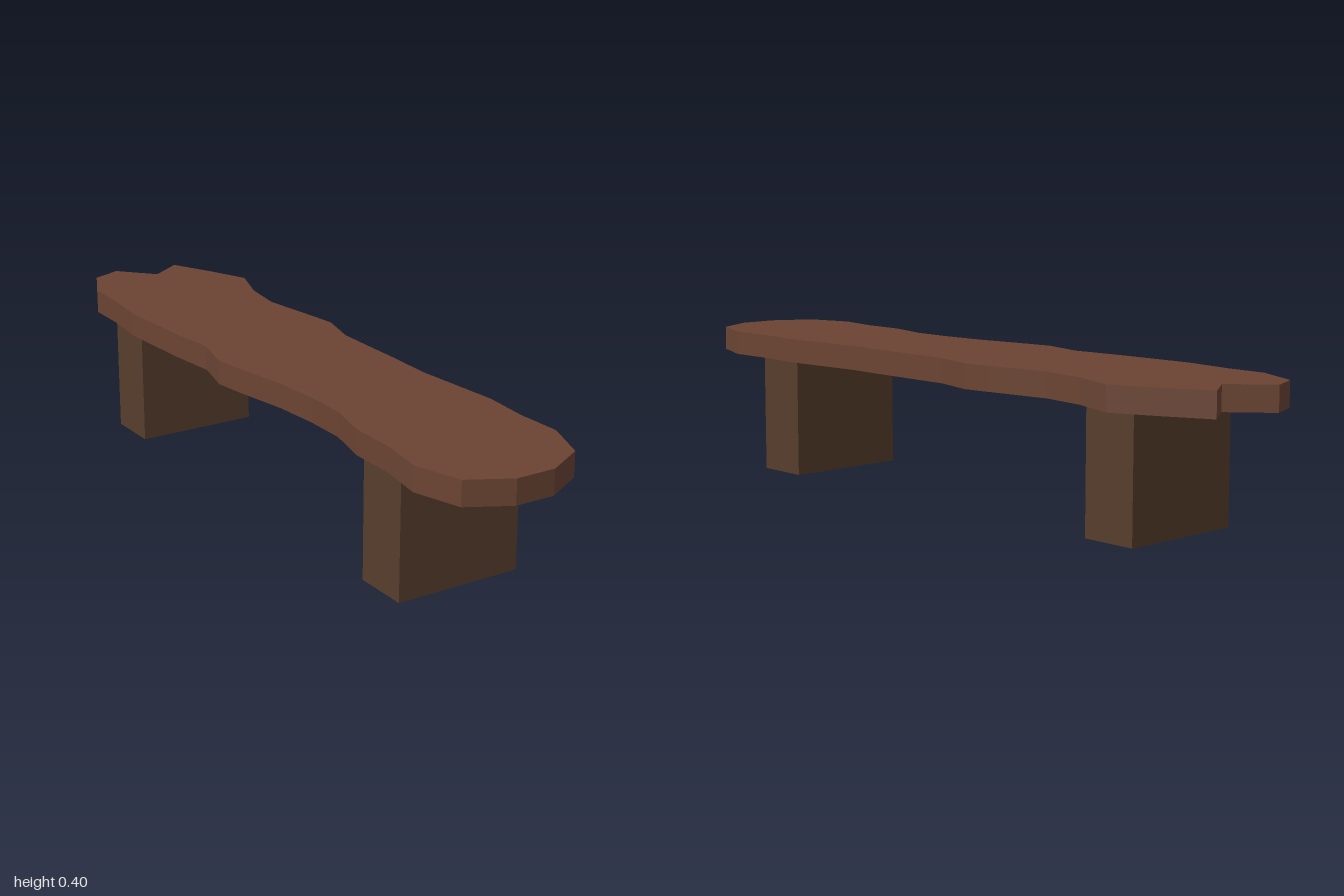
import * as THREE from 'three';

const SEAT_BOTTOM = 0.333, SEAT_TOP = 0.4;

// Live-edge plank outline as [x, z], starting at the notched back end
const OUTLINE = [
  [-0.065, -1], [0.025, -0.9], [0.12, -0.965], [0.18, -0.84], [0.23, -0.72],
  [0.185, -0.59], [0.168, -0.46], [0.195, -0.28], [0.205, -0.2], [0.175, -0.08],
  [0.175, 0.17], [0.172, 0.29], [0.195, 0.55], [0.185, 0.68], [0.19, 0.81],
  [0.14, 0.94], [0.03, 1], [-0.08, 1], [-0.19, 0.94], [-0.23, 0.81],
  [-0.21, 0.68], [-0.21, 0.55], [-0.18, 0.42], [-0.18, 0.3], [-0.19, 0.17],
  [-0.22, 0], [-0.23, -0.08], [-0.2, -0.2], [-0.215, -0.34], [-0.228, -0.58],
  [-0.212, -0.72], [-0.21, -0.84], [-0.15, -0.965],
];

export function createModel() {
  const bench = new THREE.Group();
  bench.name = 'bench';

  const seatWood = new THREE.MeshStandardMaterial({ color: 0x6b4433, flatShading: true });
  const legWood = new THREE.MeshStandardMaterial({ color: 0x573d2c, flatShading: true });

  // Seat plank, extruded upwards
  const shape = new THREE.Shape(OUTLINE.map(([x, z]) => new THREE.Vector2(x, -z)));
  const plank = new THREE.ExtrudeGeometry(shape, {
    depth: SEAT_TOP - SEAT_BOTTOM, bevelEnabled: false,
  });
  plank.rotateX(-Math.PI / 2);
  const seat = new THREE.Mesh(plank, seatWood);
  seat.name = 'seat';
  seat.position.y = SEAT_BOTTOM;
  bench.add(seat);

  // Two solid block legs
  for (const [name, z] of [['frontLeg', 0.633], ['backLeg', -0.672]]) {
    const leg = new THREE.Mesh(new THREE.BoxGeometry(0.358, SEAT_BOTTOM, 0.156), legWood);
    leg.name = name;
    leg.position.set(-0.014, SEAT_BOTTOM / 2, z);
    bench.add(leg);
  }

  return bench;
}
